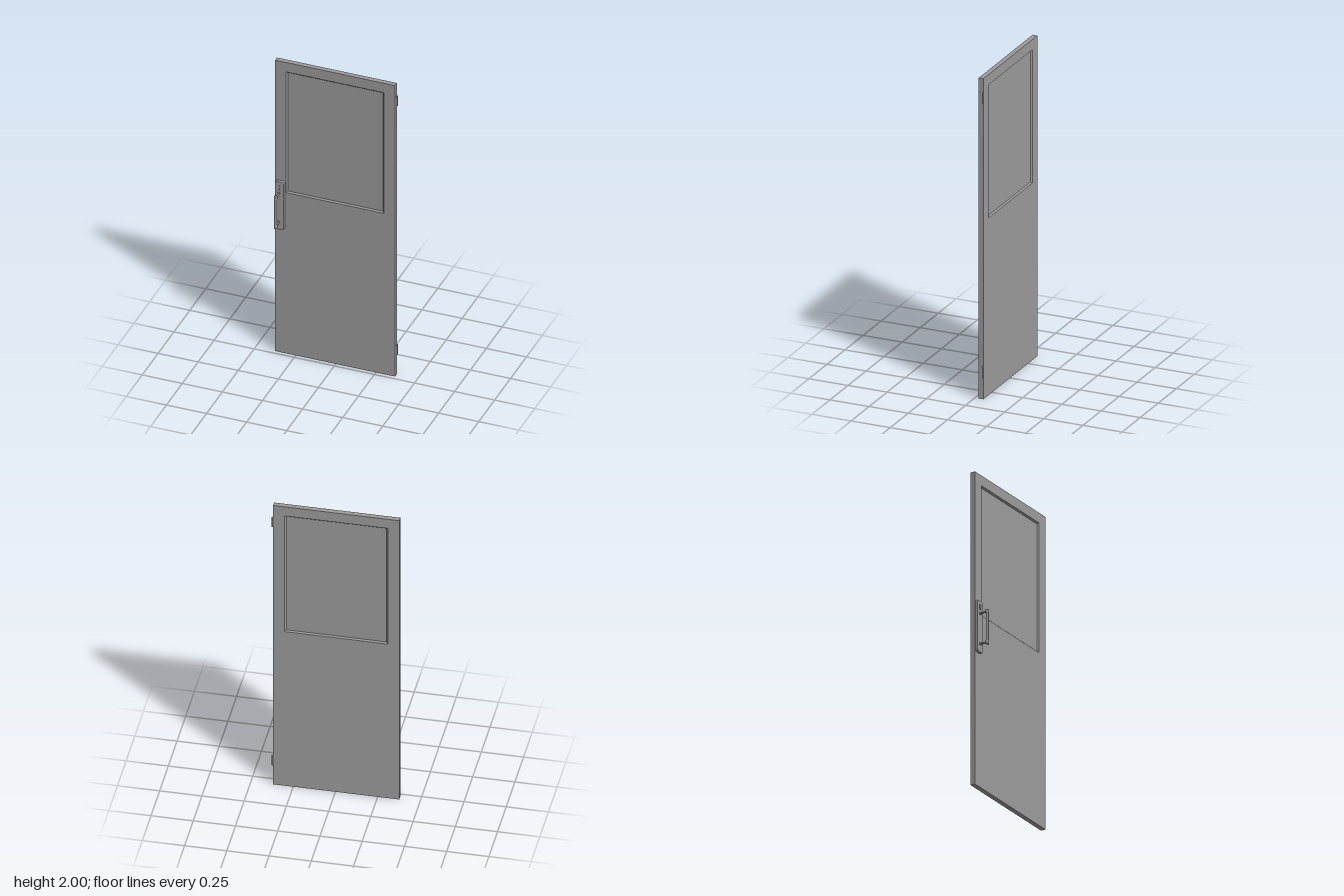
import * as THREE from 'three';

const mat = new THREE.MeshStandardMaterial({ color: 0x9b9b9b });

function add(parent, name, geometry, x = 0, y = 0, z = 0) {
  const mesh = new THREE.Mesh(geometry, mat);
  mesh.name = name;
  mesh.position.set(x, y, z);
  parent.add(mesh);
  return mesh;
}

function rect(path, x0, y0, x1, y1) {
  path.moveTo(x0, y0);
  path.lineTo(x1, y0);
  path.lineTo(x1, y1);
  path.lineTo(x0, y1);
  path.closePath();
  return path;
}

// Rectangle with rounded corners, centred on the origin
function roundedRect(w, h, r) {
  const s = new THREE.Shape(), x = w / 2 - r, y = h / 2 - r;
  s.absarc(x, y, r, 0, Math.PI / 2);
  s.absarc(-x, y, r, Math.PI / 2, Math.PI);
  s.absarc(-x, -y, r, Math.PI, Math.PI * 1.5);
  s.absarc(x, -y, r, Math.PI * 1.5, Math.PI * 2);
  s.closePath();
  return s;
}

// Four sloped faces running inwards from a w by h opening at z down to z - depth
function bevelFrame(w, h, z, inset, depth) {
  const corners = [[-1, -1], [1, -1], [1, 1], [-1, 1]];
  const outer = corners.map(([a, b]) => [a * w / 2, b * h / 2, z]);
  const inner = corners.map(([a, b]) => [a * (w / 2 - inset), b * (h / 2 - inset), z - depth]);
  const pos = [];
  for (let i = 0; i < 4; i++) {
    const j = (i + 1) % 4;
    pos.push(...outer[i], ...outer[j], ...inner[j], ...outer[i], ...inner[j], ...inner[i]);
  }
  const g = new THREE.BufferGeometry();
  g.setAttribute('position', new THREE.Float32BufferAttribute(pos, 3));
  g.computeVertexNormals();
  return g;
}

// Cylinder lying along z
const rod = (r, len) => new THREE.CylinderGeometry(r, r, len, 20).rotateX(Math.PI / 2);

export function createModel() {
  const door = new THREE.Group();
  door.name = 'door';

  // Door leaf with an opening in the upper half
  const leaf = rect(new THREE.Shape(), -0.378, 0, 0.369, 2);
  leaf.holes.push(rect(new THREE.Path(), -0.31, 1.105, 0.3, 1.935));
  add(door, 'leaf', new THREE.ExtrudeGeometry(leaf, { depth: 0.03, bevelEnabled: false }), 0, 0, -0.054);

  // Recessed pane with a sloped surround on both faces
  add(door, 'pane', new THREE.BoxGeometry(0.61, 0.83, 0.012), -0.005, 1.52, -0.039);
  const surround = bevelFrame(0.61, 0.83, 0.015, 0.008, 0.009);
  add(door, 'frontSurround', surround, -0.005, 1.52, -0.039);
  add(door, 'backSurround', surround, -0.005, 1.52, -0.039).rotation.y = Math.PI;

  // Pull handle on a rounded back plate
  const handle = new THREE.Group();
  handle.name = 'handle';
  handle.position.set(-0.349, 0, 0.001);
  door.add(handle);
  const plate = new THREE.ExtrudeGeometry(roundedRect(0.05, 0.324, 0.013), {
    depth: 0.014, bevelThickness: 0.003, bevelSize: 0.003, bevelSegments: 2, curveSegments: 6,
  });
  add(handle, 'backPlate', plate, 0.003, 1.016, -0.025);
  add(handle, 'gripBar', new THREE.CylinderGeometry(0.0085, 0.0085, 0.21, 20), 0, 1, 0.042);
  for (const y of [0.902, 1.098]) {
    add(handle, 'standoff', rod(0.0055, 0.05), 0, y, 0.017);
    add(handle, 'standoffCollar', rod(0.009, 0.005), 0, y, -0.006);
    add(handle, 'gripEnd', new THREE.CylinderGeometry(0.01, 0.01, 0.024, 20), 0, y, 0.042);
  }

  // Key cylinder above the grip
  add(handle, 'lockCylinder', rod(0.009, 0.005), 0, 1.147, -0.006);
  add(handle, 'lockTail', new THREE.BoxGeometry(0.008, 0.022, 0.005), 0, 1.133, -0.006);

  // Hinge knuckles and leaves on the left edge
  for (const y of [0.17, 1.88]) {
    add(door, 'hingeKnuckle', new THREE.CylinderGeometry(0.0035, 0.0035, 0.07, 12), 0.374, y, -0.0515);
    add(door, 'hingeLeaf', new THREE.BoxGeometry(0.002, 0.07, 0.024), 0.3695, y, -0.041);
  }
  return door;
}
